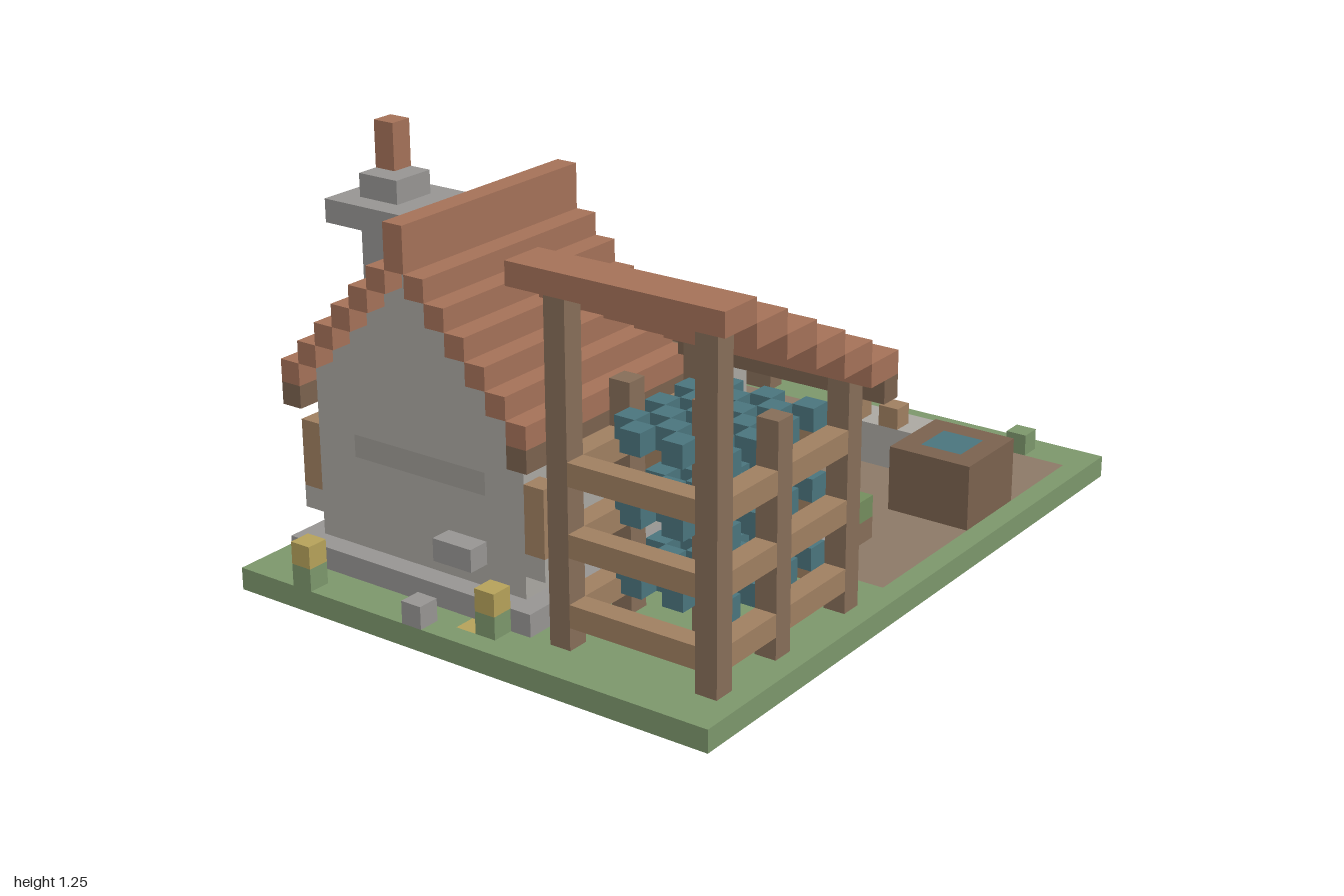
import * as THREE from 'three';

const U = 0.0625; // edge of one block

export function createModel() {
  const group = new THREE.Group();
  const cells = new Map(); // block position -> part name
  const colors = {};
  const key = (x, y, z) => x + ',' + y + ',' + z;

  // Fills a range of blocks with a part; later parts replace earlier ones.
  function fill(name, color, [x0, x1], [y0, y1], [z0, z1]) {
    colors[name] = color;
    for (let x = x0; x < x1; x++)
      for (let y = y0; y < y1; y++)
        for (let z = z0; z < z1; z++) cells.set(key(x, y, z), name);
  }

  const GRASS = 0x7f9a6e, LEAF = 0x76905f, DIRT = 0x8f7c69, ROOF = 0xa8745a, WOOD = 0x89705a;
  const PLANK = 0xa38263, DARK = 0x7d6450, TEAL = 0x4c7780, STONE = 0x9a9896, WALL = 0xaeaba5;
  const YELLOW = 0xb9a55c;

  // Ground with a dirt yard
  fill('lawn', GRASS, [-12, 12], [0, 1], [-16, 16]);
  fill('yard', DIRT, [-11, 11], [0, 1], [-14, 2]);
  fill('flowerPatch', YELLOW, [-1, 0], [0, 1], [14, 15]);

  // House: plinth, walls and gables, stepped roof
  fill('housePlinth', STONE, [-11, 2], [1, 2], [3, 14]);
  for (let d = 0; d <= 6; d++) {
    for (const x of [-5 - d, -5 + d]) {
      if (d < 6) fill('houseWalls', WALL, [x, x + 1], [2, 15 - d], [4, 13]);
      fill('houseRoof', ROOF, [x, x + 1], [15 - d, d === 0 ? 17 : 16 - d], [3, 14]);
      if (d === 6) fill('houseEaves', DARK, [x, x + 1], [8, 9], [3, 14]);
    }
  }
  fill('wallBand', 0xa19e98, [-8, -1], [6, 7], [12, 13]);
  fill('frontLedge', STONE, [-3, -1], [3, 4], [13, 14]);

  // Side windows with shutters and sills
  for (const [outer, wall] of [[-11, -10], [1, 0]]) {
    fill('windowSills', WALL, [outer, outer + 1], [3, 4], [4, 13]);
    for (const z of [4, 12]) fill('shutters', PLANK, [outer, outer + 1], [4, 7], [z, z + 1]);
    for (const z of [6, 10]) fill('windowGlass', 0x71808c, [wall, wall + 1], [4, 6], [z, z + 1]);
  }

  // Back door with frame and a stone planter
  fill('doorFrame', WOOD, [-7, -2], [2, 8], [4, 5]);
  fill('door', PLANK, [-6, -3], [2, 7], [4, 5]);
  fill('doorGlass', 0x71808c, [-5, -4], [3, 4], [4, 5]);
  fill('doorGlass', 0x71808c, [-5, -4], [5, 6], [4, 5]);
  fill('backPlanter', STONE, [-4, -1], [4, 6], [3, 4]);

  // Chimney
  fill('chimney', STONE, [-8, -6], [11, 18], [10, 12]);
  fill('chimneyCap', STONE, [-9, -5], [16, 17], [9, 13]);
  fill('chimneyPot', ROOF, [-8, -7], [18, 20], [10, 11]);

  // Shelter: posts and a stepped lean-to roof
  for (const x of [3, 10]) {
    fill('shelterPosts', WOOD, [x, x + 1], [1, 16], [13, 14]);
    for (const z of [4, 9]) fill('shelterPosts', WOOD, [x, x + 1], [1, 11], [z, z + 1]);
  }
  fill('shelterPosts', WOOD, [7, 8], [1, 11], [9, 10]);
  for (let i = 0; i < 6; i++)
    fill('shelterRoof', ROOF, [2, 12], [16 - i, 17 - i], [13 - 2 * i, 15 - 2 * i]);
  fill('shelterEave', DARK, [2, 12], [10, 11], [3, 4]);

  // Racks: three tiers of rails carrying a checkerboard of small bundles
  for (const y of [2, 5, 8]) {
    for (const z of [4, 13]) fill('rackRails', PLANK, [4, 10], [y, y + 1], [z, z + 1]);
    for (const x of [3, 10])
      for (const [a, b] of [[5, 9], [10, 13]]) fill('rackRails', PLANK, [x, x + 1], [y, y + 1], [a, b]);
    for (let x = 4; x < 10; x++)
      for (let z = 5; z < 12; z++)
        if ((x + z) % 2 === 0 && !cells.has(key(x, y + 1, z)))
          fill('bundles', TEAL, [x, x + 1], [y + 1, y + 2], [z, z + 1]);
  }

  // Stone ring around a grass bed, eight straight runs mirrored both ways
  for (let x = -9; x < -1; x++)
    for (let z = -9; z < -1; z++) {
      const ax = Math.abs(x + 4.5 + 0.5 + 0.0), az = Math.abs(z + 5);
      if (ax + az < 8) fill('grassBed', GRASS, [x, x + 1], [0, 1], [z, z + 1]);
    }
  for (const p of [-10, -1]) {
    fill('stoneRing', STONE, [-7, -3], [1, 2], [p, p + 1]);
    fill('stoneRing', STONE, [p, p + 1], [1, 2], [-7, -3]);
  }
  for (const p of [-9, -2])
    for (const q of [-9, -3]) {
      fill('stoneRing', STONE, [q, q + 2], [1, 2], [p, p + 1]);
      fill('stoneRing', STONE, [p, p + 1], [1, 2], [q, q + 2]);
    }

  // Pillar with a beam reaching over the ring
  fill('ringPillar', WALL, [-4, -2], [1, 6], [-7, -4]);
  fill('ringBeam', WOOD, [-11, -4], [5, 6], [-6, -5]);
  fill('beamBrace', DARK, [-5, -4], [2, 5], [-6, -5]);

  // Handcart
  fill('cartBody', WOOD, [-10, -6], [2, 4], [-15, -12]);
  fill('cartLoad', TEAL, [-10, -6], [3, 4], [-14, -13]);
  for (const z of [-15, -13]) fill('cartHandles', WOOD, [-6, -4], [2, 3], [z, z + 1]);
  for (const z of [-16, -12]) fill('cartWheels', DARK, [-9, -7], [1, 3], [z, z + 1]);

  // Water trough and stone table
  fill('trough', DARK, [7, 11], [1, 4], [-9, -5]);
  fill('troughWater', TEAL, [8, 10], [3, 4], [-8, -6]);
  fill('table', WALL, [2, 6], [1, 3], [-11, -9]);
  for (const x of [2, 4]) fill('tablePots', PLANK, [x, x + 1], [3, 4], [-10, -9]);

  // Planted beds, flowers, shrubs and stones
  for (const x of [3, 6]) {
    fill('planterBoxes', WOOD, [x, x + 2], [1, 2], [-2, 0]);
    fill('planterLeaves', LEAF, [x, x + 2], [2, 3], [-2, 0]);
  }
  for (const [x, z] of [[-9, 15], [0, 14], [0, 0]]) {
    fill('flowerStems', GRASS, [x, x + 1], [1, 2], [z, z + 1]);
    fill('flowerHeads', YELLOW, [x, x + 1], [2, 3], [z, z + 1]);
  }
  for (const [x, z, top] of [[-12, -5, 3], [-9, -10, 3], [8, -15, 2]])
    fill('shrubs', GRASS, [x, x + 1], [1, top], [z, z + 1]);
  for (const [x, z] of [[-3, 15], [7, 1], [2, -5]])
    fill('stones', STONE, [x, x + 1], [1, 2], [z, z + 1]);

  // Only the exposed block faces are built; the base is open underneath.
  const positions = {};
  for (const [k, name] of cells) {
    const c = k.split(',').map(Number);
    const out = (positions[name] ??= []);
    for (let a = 0; a < 3; a++)
      for (const s of [-1, 1]) {
        const n = [...c];
        n[a] += s;
        if (n[1] < 0 || cells.has(key(...n))) continue;
        const quad = [[0, 0], [1, 0], [1, 1], [0, 1]].map(([u, v]) => {
          const p = [...c];
          p[a] += s > 0 ? 1 : 0;
          p[(a + 1) % 3] += u;
          p[(a + 2) % 3] += v;
          return p.map((t) => t * U);
        });
        if (s < 0) quad.reverse();
        for (const i of [0, 1, 2, 0, 2, 3]) out.push(...quad[i]);
      }
  }
  for (const [name, pos] of Object.entries(positions)) {
    const geo = new THREE.BufferGeometry();
    geo.setAttribute('position', new THREE.Float32BufferAttribute(pos, 3));
    geo.computeVertexNormals();
    const mat = new THREE.MeshStandardMaterial({ color: colors[name], side: THREE.DoubleSide });
    const mesh = new THREE.Mesh(geo, mat);
    mesh.name = name;
    group.add(mesh);
  }
  return group;
}
